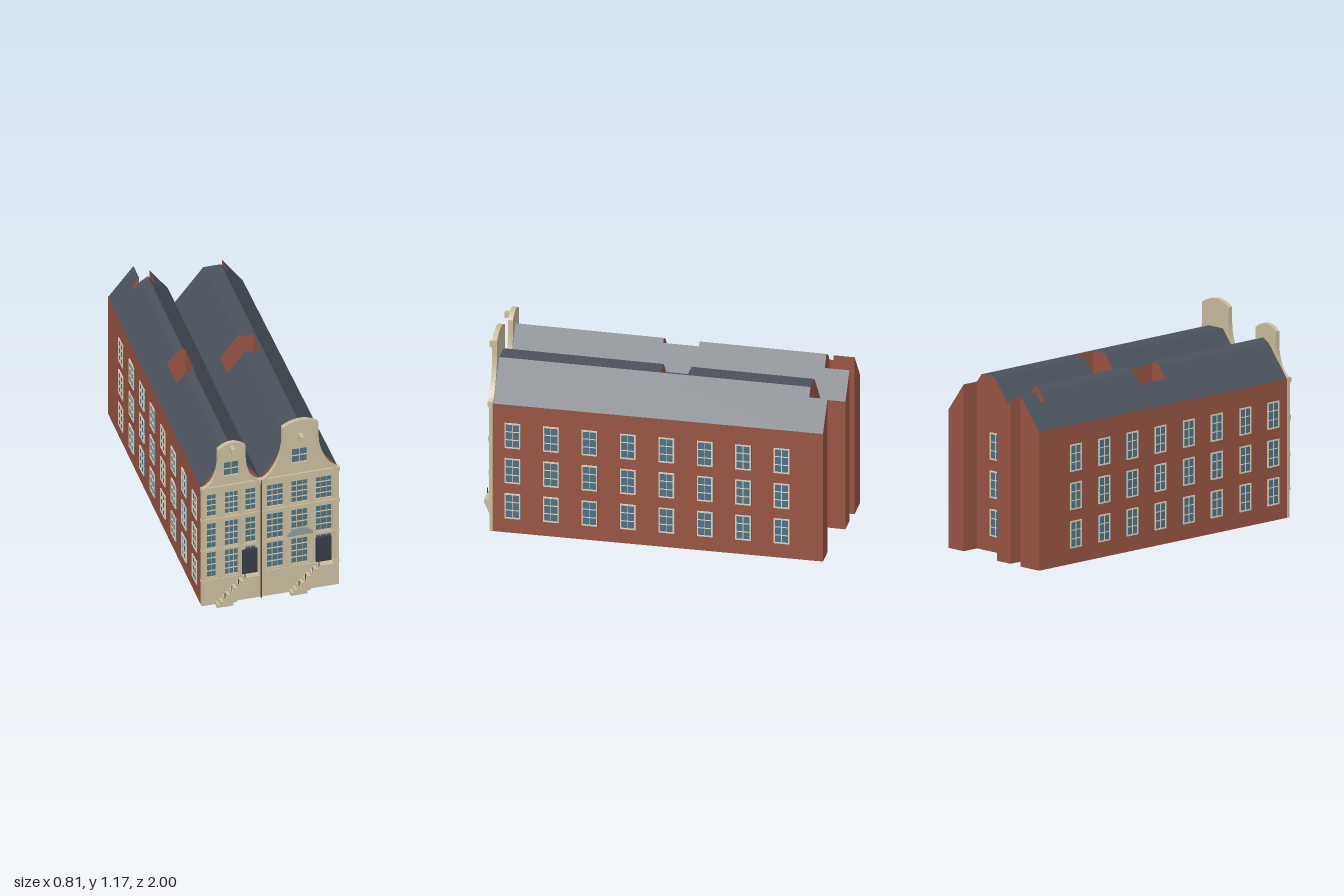
import * as THREE from 'three';

const mat = (color) => new THREE.MeshStandardMaterial({ color, flatShading: true });
const stone = mat(0xc9bc9e), brick = mat(0x985444), slate = mat(0x4b525c), glass = mat(0x4f7284),
  trim = mat(0xd8d1bc), dark = mat(0x363c47), pipe = mat(0x6b3a30), canopyGrey = mat(0x8d989e);

const mesh = (name, geo, material) => Object.assign(new THREE.Mesh(geo, material), { name });

// Box given by its minimum and maximum corners
function block(name, material, x0, x1, y0, y1, z0, z1) {
  const m = mesh(name, new THREE.BoxGeometry(x1 - x0, y1 - y0, z1 - z0), material);
  m.position.set((x0 + x1) / 2, (y0 + y1) / 2, (z0 + z1) / 2);
  return m;
}

function extrude(name, shape, depth, material, z) {
  const m = mesh(name, new THREE.ExtrudeGeometry(shape, { depth, bevelEnabled: false, curveSegments: 14 }), material);
  m.position.z = z;
  return m;
}

// Paned window centred on its origin, back at z = 0, facing +z
function paneWindow(name, w, h, cols, rows, frame, d, bar) {
  const g = new THREE.Group();
  g.name = name;
  g.add(block('glass', glass, -w / 2, w / 2, -h / 2, h / 2, 0, d * 0.45));
  for (let i = 0; i <= cols; i++) {
    const t = i % cols ? bar * 0.8 : bar * 1.5, x = (w - t) * (i / cols - 0.5);
    g.add(block('mullion', frame, x - t / 2, x + t / 2, -h / 2, h / 2, 0, d));
  }
  for (let i = 0; i <= rows; i++) {
    const t = i % rows ? bar * 0.8 : bar * 1.5, y = (h - t) * (i / rows - 0.5);
    g.add(block('glazingBar', frame, -w / 2, w / 2, y - t / 2, y + t / 2, 0, d));
  }
  return g;
}

// ---- Brick bodies and roofs: a plan grid with a ridge profile across x ----
const EAVE = 0.797, RIDGE = 1.005, FRONT = 0.935;
const ridgeLine = [[-0.4, EAVE], [-0.252, 0.98], [-0.21, RIDGE], [-0.054, EAVE], [0.112, RIDGE], [0.225, RIDGE], [0.396, EAVE]];
const xs = [-0.4, -0.303, -0.293, -0.252, -0.21, -0.193, -0.162, -0.054, 0.014, 0.112, 0.211, 0.225, 0.264, 0.396];
const zs = [-1, -0.99, -0.952, -0.88, -0.848, -0.143, -0.12, 0.016, 0.085, FRONT];

function roofY(x) {
  const i = Math.max(1, ridgeLine.findIndex((p) => x <= p[0]));
  const [xa, ya] = ridgeLine[i - 1], [xb, yb] = ridgeLine[i];
  return ya + (yb - ya) * (x - xa) / (xb - xa);
}

// The plot leans slightly towards the back
function lean(x, z) {
  const t = (FRONT - z) / 1.935;
  return x + t * (x < 0.12 ? 0.015 : 0.015 - 0.027 * (x - 0.12) / 0.28);
}

function solid(x, z) {
  if (x > -0.303 && x < -0.193 && z > -0.12 && z < 0.085) return false; // left light well
  if (x > 0.014 && x < 0.211 && z > -0.143 && z < 0.016) return false; // right light well
  if (x > -0.293 && x < -0.252 && z > -0.88 && z < -0.848) return false; // slot behind the left house
  const back = x < -0.252 ? -1 : x < -0.162 ? -0.848 : x < -0.054 ? -0.99 : x < 0.264 ? -0.848 : -0.952;
  return z > back;
}

// Whether the grid cell in column i and row j is built on
function filled(i, j) {
  if (i < 0 || j < 0 || i > xs.length - 2 || j > zs.length - 2) return false;
  return solid((xs[i] + xs[i + 1]) / 2, (zs[j] + zs[j + 1]) / 2);
}

function buildBodies() {
  const walls = [], roofs = [];
  const quad = (out, a, b, c, d) => {
    for (const [x, y, z] of [a, b, c, a, c, d]) out.push(lean(x, z), y, z);
  };
  for (let i = 0; i < xs.length - 1; i++) for (let j = 0; j < zs.length - 1; j++) {
    if (!filled(i, j)) continue;
    const x0 = xs[i], x1 = xs[i + 1], z0 = zs[j], z1 = zs[j + 1], h0 = roofY(x0), h1 = roofY(x1);
    quad(roofs, [x0, h0, z1], [x1, h1, z1], [x1, h1, z0], [x0, h0, z0]);
    quad(walls, [x0, 0, z0], [x1, 0, z0], [x1, 0, z1], [x0, 0, z1]);
    if (!filled(i - 1, j)) quad(walls, [x0, 0, z0], [x0, 0, z1], [x0, h0, z1], [x0, h0, z0]);
    if (!filled(i + 1, j)) quad(walls, [x1, 0, z1], [x1, 0, z0], [x1, h1, z0], [x1, h1, z1]);
    if (!filled(i, j + 1)) quad(walls, [x0, 0, z1], [x1, 0, z1], [x1, h1, z1], [x0, h0, z1]);
    if (!filled(i, j - 1)) quad(walls, [x1, 0, z0], [x0, 0, z0], [x0, h0, z0], [x1, h1, z0]);
  }
  const geo = (p) => {
    const g = new THREE.BufferGeometry().setAttribute('position', new THREE.Float32BufferAttribute(p, 3));
    g.computeVertexNormals();
    return g;
  };
  return [mesh('brickWalls', geo(walls), brick), mesh('slateRoofs', geo(roofs), slate)];
}

// ---- Stone street front with bell gable ----
const FZ = 0.937, FACE = 0.954;
const floors = [[0.183, 0.36], [0.38, 0.557], [0.598, 0.753]];

function streetFront(s) {
  const g = new THREE.Group();
  g.name = s.name;
  const mid = (s.g0 + s.g1) / 2;

  // Bell outline from the right eave over the top to the left eave
  const bell = new THREE.Path();
  bell.moveTo(s.x1, 0.8);
  bell.bezierCurveTo(s.x1 - 0.06, 0.815, s.g1, s.bellY - 0.09, s.g1, s.bellY);
  bell.lineTo(s.g1, s.shoulderY);
  bell.quadraticCurveTo(mid, s.topY * 2 - s.shoulderY, s.g0, s.shoulderY);
  bell.lineTo(s.g0, s.bellY);
  bell.bezierCurveTo(s.g0, s.bellY - 0.09, s.x0 + 0.06, 0.815, s.x0, 0.8);
  const pts = bell.getPoints(14);

  // Openings cut through the wall, with windows set in
  const wall = new THREE.Shape([new THREE.Vector2(s.x0, 0), new THREE.Vector2(s.x1, 0), ...pts]);
  const opening = (x0, x1, y0, y1, cols, rows) => {
    wall.holes.push(new THREE.Path([[x0, y0], [x0, y1], [x1, y1], [x1, y0]].map((p) => new THREE.Vector2(...p))));
    const w = paneWindow('frontWindow', x1 - x0, y1 - y0, cols, rows, stone, 0.014, 0.0032);
    w.position.set((x0 + x1) / 2, (y0 + y1) / 2, FZ);
    g.add(w);
  };
  for (const [x0, x1, n] of s.cols) for (const [y0, y1] of floors) opening(x0, x1, y0, y1, n, 4);
  opening(...s.attic, 2, 2);
  g.add(extrude('frontWall', wall, FACE - FZ, stone, FZ));

  // Raised moulding that follows the gable
  const inner = pts.map((p, i) => {
    const a = pts[Math.max(i - 1, 0)], b = pts[Math.min(i + 1, pts.length - 1)];
    const d = b.clone().sub(a).normalize().multiplyScalar(0.011);
    return new THREE.Vector2(p.x - d.y, p.y + d.x);
  });
  g.add(extrude('gableMoulding', new THREE.Shape([...pts, ...inner.reverse()]), 0.022, stone, 0.943));

  // Cornices, pilasters and their caps
  for (const [y0, y1, z] of [[0.157, 0.174, 0.96], [0.364, 0.377, 0.96], [0.567, 0.588, 0.962], [0.778, 0.804, 0.965]]) {
    g.add(block('cornice', stone, s.x0 - 0.003, s.x1 + 0.003, y0, y1, FZ, z));
  }
  for (const x of s.pilasters) for (const [y0, y1] of [[0.174, 0.364], [0.377, 0.567], [0.588, 0.778]]) {
    g.add(block('pilaster', stone, x - 0.009, x + 0.009, y0, y1, FACE, 0.958));
    g.add(block('pilasterCap', stone, x - 0.012, x + 0.012, y1 - 0.012, y1, FACE, 0.961));
  }

  // Hoisting beam
  g.add(block('hoistBeam', stone, mid - 0.011, mid + 0.011, s.hoistY, s.hoistY + 0.035, FACE, 1));

  // Door and a side stair climbing to it
  g.add(block('door', dark, s.door, s.door + 0.09, 0.178, 0.34, FZ, 0.962));
  const sx = s.door - 0.156;
  for (let i = 0; i < 9; i++) {
    const x = sx + i * 0.0195;
    g.add(block('step', stone, x, x + 0.095, i * 0.0195, i * 0.0195 + 0.018, 0.953, 0.995));
  }
  for (const i of [2, 4, 6, 8]) {
    const x = sx + i * 0.0195 + 0.008, y = i * 0.0195;
    g.add(block('railPost', dark, x - 0.002, x + 0.002, y - 0.01, y + 0.05, 0.99, 0.994));
  }
  return g;
}

export function createModel() {
  const model = new THREE.Group();
  model.name = 'canalHouses';
  model.add(...buildBodies());

  model.add(streetFront({
    name: 'leftFront', x0: -0.4, x1: -0.057, g0: -0.307, g1: -0.146, bellY: 0.99, shoulderY: 1.053, topY: 1.088, hoistY: 1.03,
    cols: [[-0.372, -0.31, 2], [-0.266, -0.183, 3], [-0.149, -0.08, 2]],
    attic: [-0.272, -0.18, 0.858, 0.957], pilasters: [-0.389, -0.289, -0.166, -0.069], door: -0.165,
  }));
  model.add(streetFront({
    name: 'rightFront', x0: -0.053, x1: 0.4, g0: 0.068, g1: 0.279, bellY: 1.04, shoulderY: 1.132, topY: 1.167, hoistY: 1.04,
    cols: [[-0.022, 0.08, 3], [0.12, 0.223, 3], [0.263, 0.362, 3]],
    attic: [0.124, 0.22, 0.87, 0.972], pilasters: [-0.039, 0.1, 0.243, 0.383], door: 0.265,
  }));
  model.add(block('drainPipe', pipe, -0.058, -0.052, 0, 0.8, 0.94, 0.966));

  // Arched canopy panel
  const arch = new THREE.Shape();
  arch.moveTo(0.095, 0.385);
  arch.lineTo(0.25, 0.385);
  arch.quadraticCurveTo(0.225, 0.432, 0.1725, 0.434);
  arch.quadraticCurveTo(0.12, 0.432, 0.095, 0.385);
  model.add(extrude('canopyPanel', arch, 0.012, canopyGrey, 0.956));

  // Windows on side, rear and light-well walls
  const addWindow = (name, x, y, z, turn) => {
    const w = paneWindow(name, 0.09, 0.155, 2, 3, trim, 0.008, 0.005);
    w.position.set(x, y, z);
    w.rotation.y = turn;
    model.add(w);
  };
  for (const y of [0.168, 0.388, 0.607]) {
    for (let i = 0; i < 8; i++) {
      const z = 0.823 - 0.22 * i;
      addWindow('rightSideWindow', lean(0.396, z), y, z, Math.PI / 2);
      addWindow('leftSideWindow', lean(-0.4, z), y, z, -Math.PI / 2);
    }
    addWindow('rearWindow', 0.11, y, -0.848, Math.PI);
    addWindow('lightWellWindow', 0.11, y, -0.143, 0);
    addWindow('lightWellWindow', 0.145, y, 0.016, Math.PI);
    addWindow('lightWellWindow', lean(-0.303, -0.02), y, -0.02, Math.PI / 2);
  }
  return model;
}
